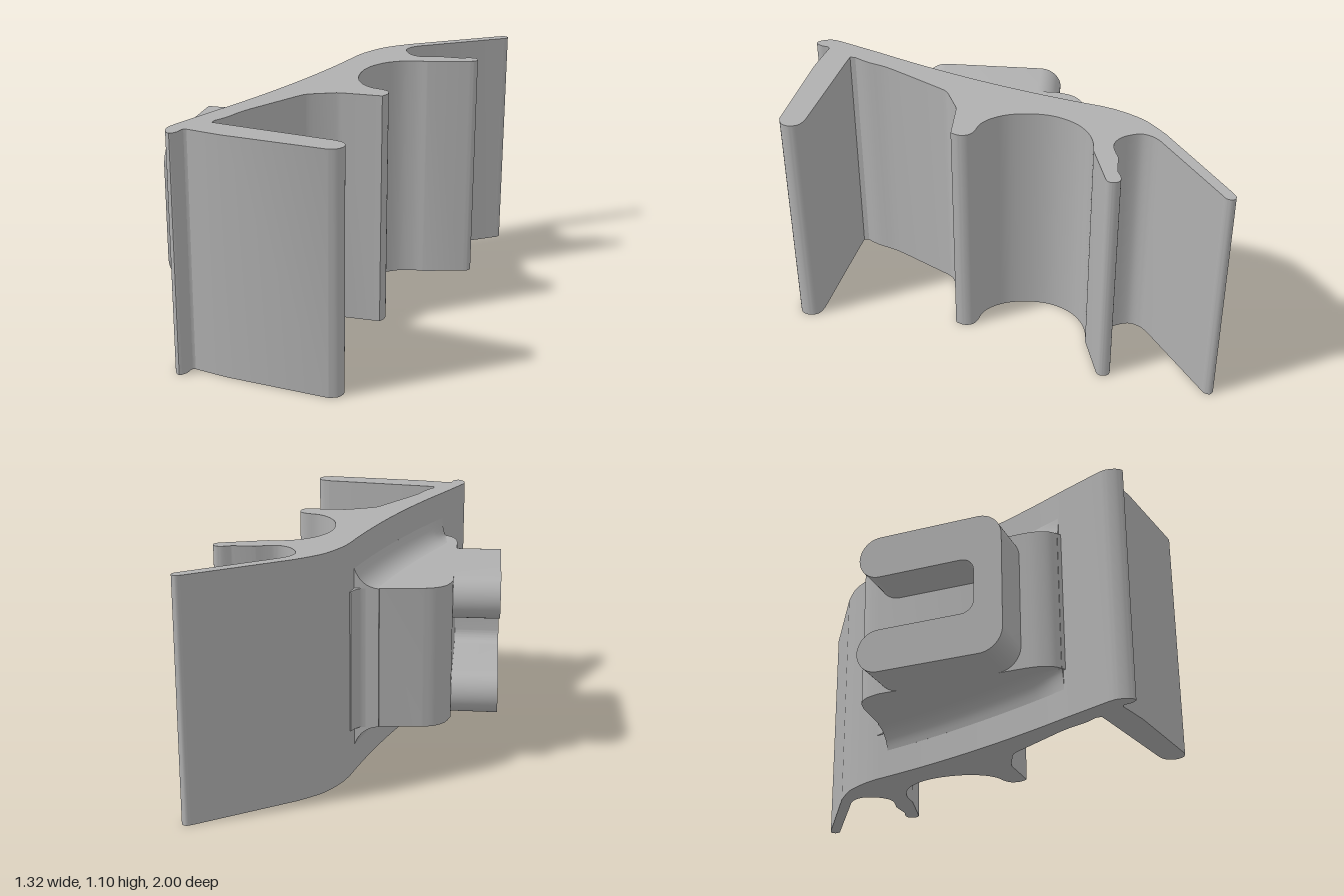
import * as THREE from 'three';
import { toCreasedNormals } from 'three/addons/utils/BufferGeometryUtils.js';

const HEIGHT = 1.1;
const grey = new THREE.MeshStandardMaterial({ color: 0xb0b0b0 });
grey.name = 'plain grey';

// x of the gently curved back of the bracket at depth z
const backX = (z) => -0.115 - 0.32 * z - 0.111 * z * z;

// Runs of [x, z] points: three or more become a smooth curve, runs are joined by straight lines
function outline(runs) {
  const points = [];
  for (const run of runs) {
    const v = run.map(([x, z]) => new THREE.Vector2(x, -z));
    points.push(...(v.length > 2 ? new THREE.SplineCurve(v).getPoints((v.length - 1) * 5) : v));
  }
  return new THREE.Shape(points);
}

// Extrude a plan outline upwards from y0 to y1
function upright(shape, y0, y1) {
  const g = new THREE.ExtrudeGeometry(shape, { depth: y1 - y0, bevelEnabled: false, curveSegments: 12 });
  g.rotateX(-Math.PI / 2).translate(0, y0, 0);
  return g;
}

function part(name, geometry) {
  const mesh = new THREE.Mesh(toCreasedNormals(geometry, 0.5), grey);
  mesh.name = name;
  return mesh;
}

export function createModel() {
  const group = new THREE.Group();
  group.name = 'clip bracket';

  // Constant-section bracket with its four fingers
  const back = [];
  for (let i = 0; i <= 10; i++) {
    const z = 0.65 - i * 0.107;
    back.push([backX(z), z]);
  }
  const profile = outline([
    // long rear finger tip
    [[0.615, -0.99], [0.64, -1], [0.66, -0.985], [0.655, -0.96], [0.64, -0.948]],
    // slot between the rear finger and the wavy finger
    [[0.255, -0.685], [0.225, -0.65], [0.21, -0.6], [0.235, -0.535], [0.27, -0.5], [0.31, -0.487], [0.355, -0.495], [0.40, -0.51]],
    // wavy finger tip
    [[0.50, -0.51], [0.545, -0.526], [0.575, -0.52], [0.586, -0.492], [0.575, -0.468], [0.54, -0.455]],
    // large round socket and its lower lip
    [[0.36, -0.402], [0.3, -0.398], [0.23, -0.375], [0.16, -0.32], [0.11, -0.23], [0.095, -0.13], [0.11, -0.02],
      [0.15, 0.06], [0.2, 0.105], [0.26, 0.125], [0.29, 0.15], [0.296, 0.19], [0.28, 0.226]],
    [[0.09, 0.226], [0.07, 0.23]],
    [[-0.03, 0.275], [-0.055, 0.29], [-0.075, 0.315]],
    // inner corner above the front finger
    [[-0.22, 0.56], [-0.25, 0.62], [-0.28, 0.7], [-0.315, 0.76]],
    [[-0.315, 0.785], [-0.25, 0.797]],
    // front finger tip
    [[0.24, 0.88], [0.28, 0.9], [0.296, 0.94], [0.28, 0.98], [0.24, 0.997]],
    [[-0.22, 0.937], [-0.3, 0.92]],
    // small lip at the front corner
    [[-0.385, 0.9], [-0.4, 0.908], [-0.41, 0.945], [-0.435, 0.97], [-0.46, 0.945], [-0.47, 0.9], [-0.46, 0.86]],
    back,
    [[0.02, -0.48], [0.06, -0.56], [0.11, -0.63], [0.2, -0.71]],
  ]);
  group.add(part('bracketBody', upright(profile, 0, HEIGHT)));

  // Mounting block behind the body
  const block = outline([
    [[0.02, -0.42], [-0.005, -0.42]],
    [[-0.015, -0.395], [-0.04, -0.368], [-0.08, -0.357]],
    [[-0.32, -0.335], [-0.38, -0.315], [-0.425, -0.27], [-0.448, -0.2]],
    [[-0.448, 0.5], [-0.44, 0.56], [-0.415, 0.615], [-0.365, 0.655]],
    [[-0.32, 0.62], [-0.05, 0]],
  ]);
  group.add(part('mountBlock', upright(block, 0.22, 0.88)));

  // Flared fillet blending the block into the curved back
  const flare = new THREE.Shape();
  flare.moveTo(0.02, 0.13);
  flare.lineTo(0.02, 0.97);
  flare.lineTo(0, 0.97);
  flare.quadraticCurveTo(-0.03, 0.885, -0.11, 0.879);
  flare.lineTo(-0.11, 0.221);
  flare.quadraticCurveTo(-0.03, 0.215, 0, 0.13);
  const flareGeometry = new THREE.ExtrudeGeometry(flare, { depth: 1.0, steps: 20, bevelEnabled: false, curveSegments: 10 });
  flareGeometry.translate(0, 0, -0.36);
  const p = flareGeometry.attributes.position;
  for (let i = 0; i < p.count; i++) {
    const z = p.getZ(i);
    p.setX(i, p.getX(i) * Math.min(1, (0.68 - z) / 0.2) + backX(z));
  }
  group.add(part('blockFillet', flareGeometry));

  // C-shaped hook plate, drawn in (-z, y) and open towards the rear
  const hook = new THREE.Shape();
  hook.moveTo(0.1, 0.22);
  hook.absarc(0.1, 0.32, 0.1, -Math.PI / 2, Math.PI / 2, false);
  hook.lineTo(-0.29, 0.42);
  hook.absarc(-0.29, 0.48, 0.06, -Math.PI / 2, -Math.PI, true);
  hook.lineTo(-0.35, 0.62);
  hook.absarc(-0.29, 0.62, 0.06, Math.PI, Math.PI / 2, true);
  hook.lineTo(0.1, 0.68);
  hook.absarc(0.1, 0.78, 0.1, -Math.PI / 2, Math.PI / 2, false);
  hook.lineTo(-0.37, 0.88);
  hook.absarc(-0.37, 0.77, 0.11, Math.PI / 2, Math.PI, false);
  hook.lineTo(-0.48, 0.33);
  hook.absarc(-0.37, 0.33, 0.11, Math.PI, Math.PI * 1.5, false);
  const hookGeometry = new THREE.ExtrudeGeometry(hook, { depth: 0.23, bevelEnabled: false, curveSegments: 12 });
  hookGeometry.rotateY(Math.PI / 2).translate(-0.664, 0, 0);
  group.add(part('hookPlate', hookGeometry));

  return group;
}
